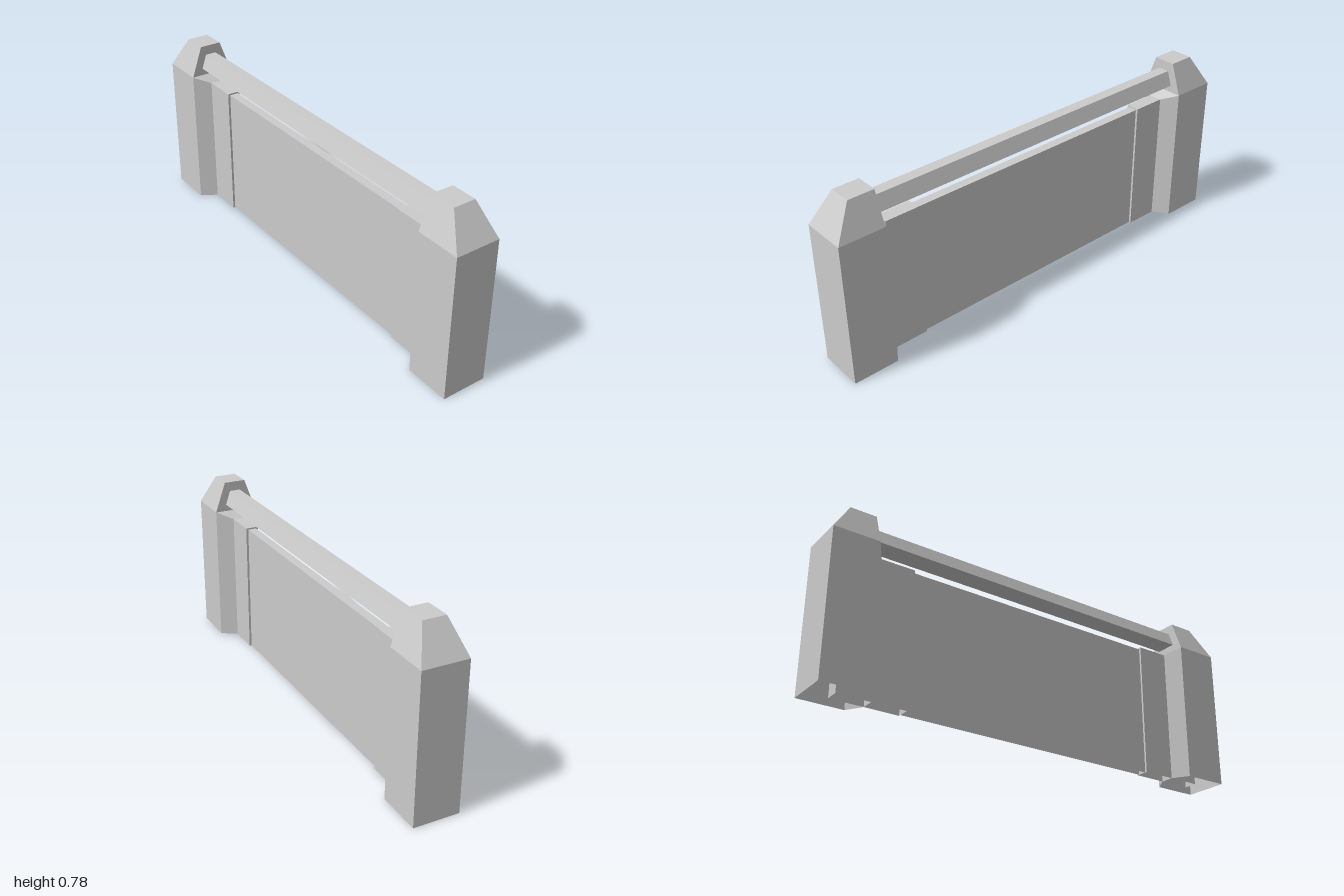
import * as THREE from 'three';

const material = new THREE.MeshStandardMaterial({ color: 0xcccccc, flatShading: true, side: THREE.DoubleSide });

function addMesh(group, name, geometry) {
  const mesh = new THREE.Mesh(geometry, material);
  mesh.name = name;
  group.add(mesh);
  return mesh;
}

// Box standing on the ground with an open underside
function openBox(x0, x1, height, halfDepth) {
  const g = new THREE.BoxGeometry(x1 - x0, height, halfDepth * 2);
  g.translate((x0 + x1) / 2, height / 2, 0);
  const index = Array.from(g.index.array);
  index.splice(18, 6); // bottom face
  g.setIndex(index);
  g.clearGroups();
  return g;
}

// Hollow post: square shaft, flared inner wing, tapered cap; side is +1 or -1
function postGeometry(side) {
  const outline = [[1, 0.1], [1, -0.1], [0.8, -0.1], [0.755, -0.03], [0.755, 0.03], [0.8, 0.1]];
  const low = outline.map(([x, z]) => [x, 0, z]);
  const high = outline.map(([x, z]) => [x, x < 0.8 ? 0.61 : 0.64, z]);
  const cap = [[0.915, 0.78, 0.05], [0.915, 0.78, -0.05], [0.8, 0.78, -0.05], [0.8, 0.78, 0.05]];
  const shoulder = [high[0], high[1], high[2], high[5]];

  const quads = outline.map((_, i) => {
    const j = (i + 1) % outline.length;
    return [low[i], low[j], high[j], high[i]];
  });
  for (let i = 0; i < 4; i++) {
    const j = (i + 1) % 4;
    quads.push([shoulder[i], shoulder[j], cap[j], cap[i]]);
  }
  quads.push(cap);
  quads.push([high[5], high[2], high[3], high[4]]); // sloping top of the wing

  const positions = [];
  for (const [a, b, c, d] of quads) {
    const corners = side > 0 ? [a, b, c, a, c, d] : [a, c, b, a, d, c];
    for (const [x, y, z] of corners) positions.push(x * side, y, z);
  }
  const g = new THREE.BufferGeometry();
  g.setAttribute('position', new THREE.Float32BufferAttribute(positions, 3));
  g.computeVertexNormals();
  return g;
}

// Handrail: trapezoid section, wider at the bottom
function railGeometry() {
  const g = new THREE.BoxGeometry(1.6, 0.065, 0.096);
  const p = g.attributes.position;
  for (let i = 0; i < p.count; i++) {
    if (p.getY(i) > 0) p.setZ(i, p.getZ(i) * 0.52);
  }
  g.translate(0, 0.704, 0);
  g.computeVertexNormals();
  return g;
}

export function createModel() {
  const model = new THREE.Group();
  model.name = 'barrier';

  addMesh(model, 'wallPanel', openBox(-0.605, 0.605, 0.603, 0.02));
  addMesh(model, 'handrail', railGeometry());

  // Posts and the thicker wall ends that run into them
  for (const side of [1, -1]) {
    const name = side > 0 ? 'left' : 'right';
    addMesh(model, name + 'Post', postGeometry(side));
    const x0 = side > 0 ? 0.605 : -0.9;
    addMesh(model, name + 'WallEnd', openBox(x0, x0 + 0.295, 0.61, 0.03));
  }
  return model;
}
